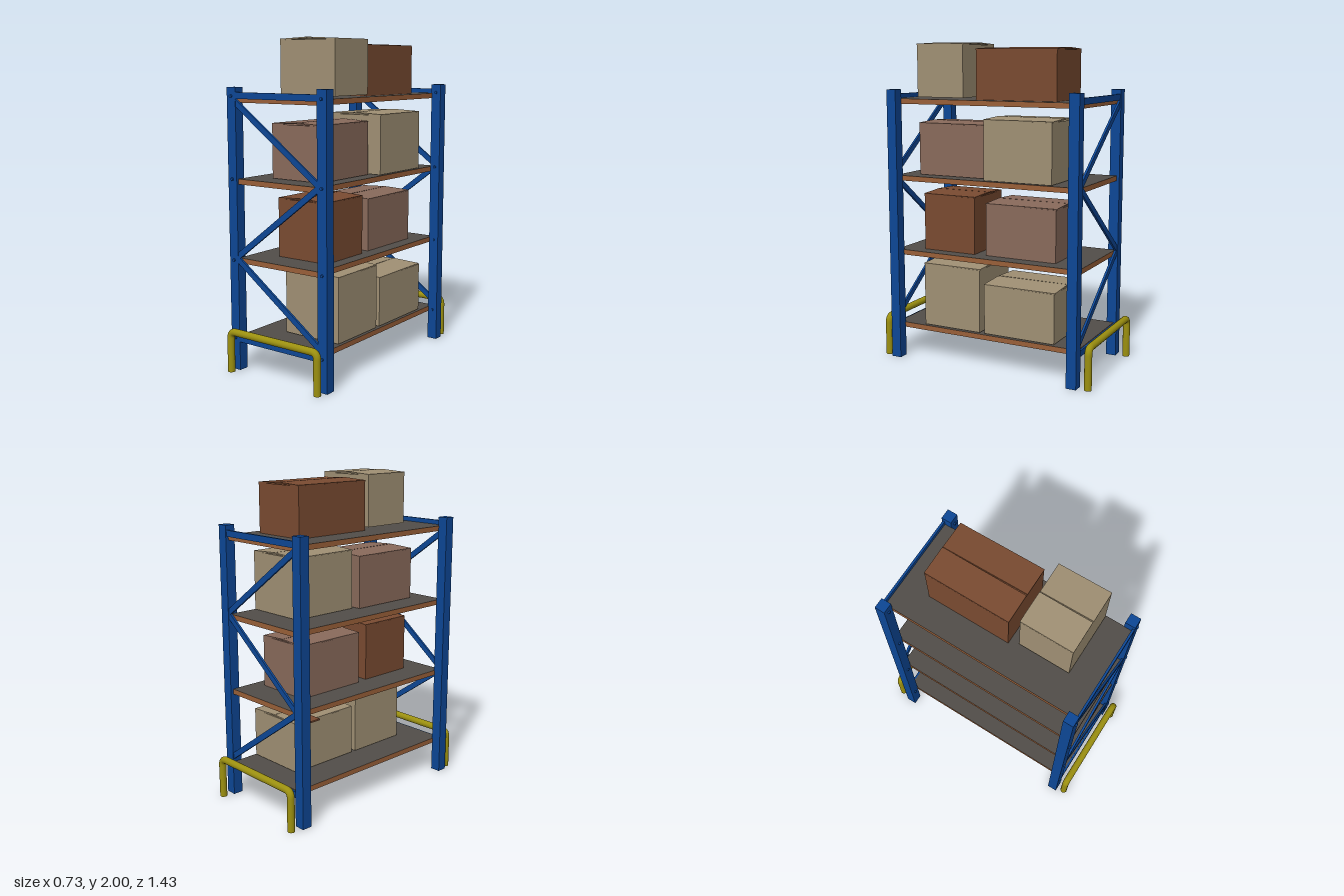
import * as THREE from 'three';

const mat = (color) => new THREE.MeshStandardMaterial({ color });
const BLUE = mat(0x0d4796), YELLOW = mat(0x9c9010), WOOD = mat(0x9a6039), DECK = mat(0x524e49);
const TAN = mat(0xa09074), BROWN = mat(0x7a4b31), MAUVE = mat(0x896a5b);

// Axis-aligned box given by its limits
function span(name, material, x0, x1, y0, y1, z0, z1) {
  const mesh = new THREE.Mesh(new THREE.BoxGeometry(x1 - x0, y1 - y0, z1 - z0), material);
  mesh.position.set((x0 + x1) / 2, (y0 + y1) / 2, (z0 + z1) / 2);
  mesh.name = name;
  return mesh;
}

// Flat bar between two points in a plane of constant z
function brace(x0, y0, x1, y1, z) {
  const dx = x1 - x0, dy = y1 - y0;
  const mesh = new THREE.Mesh(new THREE.BoxGeometry(Math.hypot(dx, dy), 0.035, 0.014), BLUE);
  mesh.position.set((x0 + x1) / 2, (y0 + y1) / 2, z);
  mesh.rotation.z = Math.atan2(dy, dx);
  mesh.name = 'diagonalBrace';
  return mesh;
}

// End frame: two posts, two horizontal bars, three zigzag braces, bolts
function endFrame(zPost, zBrace) {
  const frame = new THREE.Group();
  for (const s of [-1, 1]) {
    const x = s * 0.333;
    frame.add(span('post', BLUE, x - 0.033, x + 0.033, 0, 1.715, zPost - 0.032, zPost + 0.032));
    for (const y of [0.2, 0.685, 1.175, 1.663]) {
      const bolt = new THREE.Mesh(new THREE.CylinderGeometry(0.009, 0.009, 0.012, 12), BLUE);
      bolt.rotation.x = Math.PI / 2;
      bolt.position.set(x, y, zPost + 0.035);
      bolt.name = 'bolt';
      frame.add(bolt);
    }
  }
  for (const y of [0.197, 1.667]) {
    frame.add(span('crossBar', BLUE, -0.305, 0.305, y - 0.019, y + 0.019, zBrace - 0.007, zBrace + 0.007));
  }
  const levels = [1.635, 1.18, 0.7, 0.25];
  for (let i = 0; i < 3; i++) {
    const s = i % 2 ? 1 : -1;
    frame.add(brace(s * 0.315, levels[i], -s * 0.315, levels[i + 1], zBrace));
  }
  return frame;
}

// Bent tube barrier in front of an end frame
function guard(z) {
  const w = 0.33, h = 0.252, r = 0.04;
  const v = (x, y) => new THREE.Vector3(x, y, 0);
  const path = new THREE.CurvePath();
  path.add(new THREE.LineCurve3(v(-w, 0), v(-w, h - r)));
  path.add(new THREE.QuadraticBezierCurve3(v(-w, h - r), v(-w, h), v(-w + r, h)));
  path.add(new THREE.LineCurve3(v(-w + r, h), v(w - r, h)));
  path.add(new THREE.QuadraticBezierCurve3(v(w - r, h), v(w, h), v(w, h - r)));
  path.add(new THREE.LineCurve3(v(w, h - r), v(w, 0)));
  const group = new THREE.Group();
  group.add(new THREE.Mesh(new THREE.TubeGeometry(path, 96, 0.0225, 16), YELLOW));
  for (const s of [-1, 1]) {
    const cap = new THREE.Mesh(new THREE.CircleGeometry(0.0225, 16), YELLOW);
    cap.rotation.x = Math.PI / 2;
    cap.position.x = s * w;
    group.add(cap);
  }
  group.position.z = z;
  group.name = 'guardRail';
  return group;
}

// Carton with two top flaps that rise slightly to the middle seam
function carton(material, x0, x1, y0, y1, z0, z1) {
  const group = new THREE.Group();
  group.add(span('cartonBody', material, x0, x1, y0, y1 - 0.014, z0, z1));
  const mid = (x0 + x1) / 2, half = (x1 - x0) / 2;
  for (const s of [-1, 1]) {
    const flap = new THREE.Mesh(new THREE.BoxGeometry(half - 0.003, 0.008, z1 - z0 + 0.004), material);
    flap.position.set(mid + s * (half / 2 + 0.001), y1 - 0.008, (z0 + z1) / 2);
    flap.rotation.set(0, s > 0 ? 0.012 : 0, -s * 0.045);
    flap.name = 'cartonFlap';
    group.add(flap);
  }
  group.name = 'carton';
  return group;
}

export function createModel() {
  const model = new THREE.Group();

  const front = endFrame(0.618, 0.642);
  front.name = 'frontFrame';
  const back = endFrame(-0.602, -0.622);
  back.name = 'backFrame';
  model.add(front, back, guard(0.695), guard(-0.695));

  // Shelves: grey decks with wooden edges
  for (const top of [0.22, 0.7, 1.177, 1.658]) {
    const sides = [WOOD, WOOD, DECK, DECK, WOOD, WOOD];
    model.add(span('shelf', sides, -0.303, 0.303, top - 0.032, top, -0.616, 0.636));
  }

  // Cartons: material, x limits, y limits, z limits
  const cartons = [
    [TAN, -0.105, 0.29, 0.225, 0.635, 0.045, 0.44],
    [TAN, -0.105, 0.29, 0.225, 0.547, -0.458, 0.012],
    [BROWN, -0.13, 0.228, 0.702, 1.07, 0.112, 0.472],
    [MAUVE, -0.142, 0.218, 0.702, 1.037, -0.433, 0.036],
    [MAUVE, -0.142, 0.218, 1.18, 1.515, 0.04, 0.508],
    [TAN, -0.105, 0.29, 1.18, 1.555, -0.435, 0.012],
    [TAN, -0.105, 0.29, 1.67, 2.0, 0.15, 0.47],
    [BROWN, -0.13, 0.228, 1.658, 1.97, -0.435, 0.094],
  ];
  for (const c of cartons) model.add(carton(...c));

  // Loose flap beside the lowest rear carton
  model.add(span('looseFlap', BROWN, -0.2, -0.1, 0.562, 0.572, -0.45, -0.347));
  return model;
}
